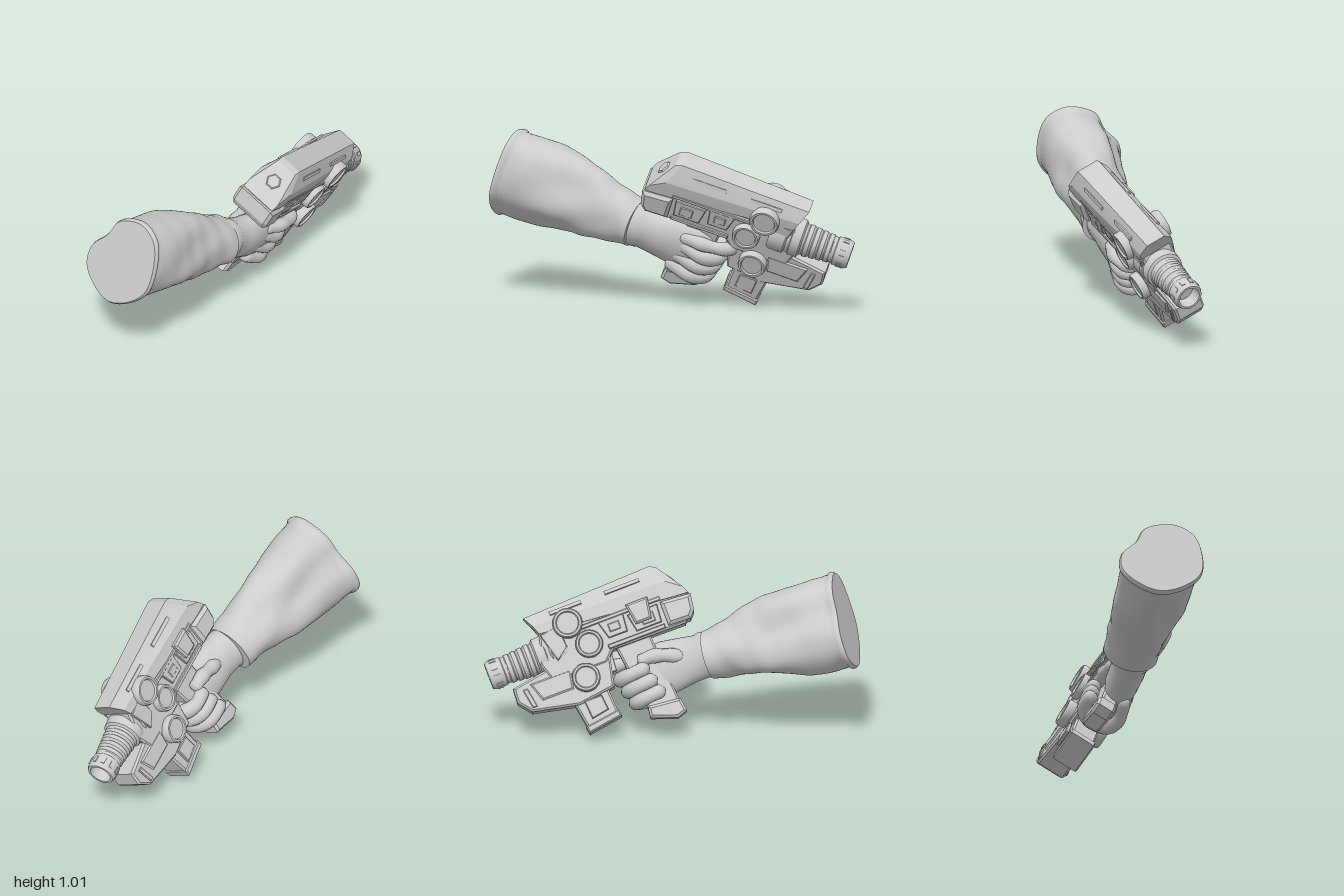
import * as THREE from 'three';
import { toCreasedNormals } from 'three/addons/utils/BufferGeometryUtils.js';

const V = (x, y, z) => new THREE.Vector3(x, y, z);
const material = new THREE.MeshStandardMaterial({ color: 0xcccccc, roughness: 0.8 });

function add(parent, name, geometry, crease = 0.6) {
  const mesh = new THREE.Mesh(toCreasedNormals(geometry, crease), material);
  mesh.name = name;
  parent.add(mesh);
  return mesh;
}

// Closed skin over a list of equal-length rings, wound outwards
function loft(rings) {
  const n = rings[0].length, pts = rings.flat(), index = [];
  for (let r = 0; r < rings.length - 1; r++) for (let i = 0; i < n; i++) {
    const a = r * n + i, b = r * n + (i + 1) % n;
    index.push(a, b, a + n, b, b + n, a + n);
  }
  for (const [r, flip] of [[0, true], [rings.length - 1, false]]) {
    const c = pts.length;
    pts.push(rings[r].reduce((s, p) => s.add(p), V(0, 0, 0)).divideScalar(n));
    for (let i = 0; i < n; i++) {
      const a = r * n + i, b = r * n + (i + 1) % n;
      index.push(...(flip ? [c, b, a] : [c, a, b]));
    }
  }
  let volume = 0;
  for (let i = 0; i < index.length; i += 3) {
    volume += pts[index[i]].dot(pts[index[i + 1]].clone().cross(pts[index[i + 2]]));
  }
  if (volume < 0) index.reverse();
  const g = new THREE.BufferGeometry().setFromPoints(pts);
  g.setIndex(index);
  return g;
}

// Rounded finger swept along a path, swelling at the joints
function finger(path, radius) {
  const curve = new THREE.CatmullRomCurve3(path.map(p => V(...p))), steps = 28;
  const frames = curve.computeFrenetFrames(steps);
  return loft([...Array(steps + 1).keys()].map(k => {
    const t = k / steps, end = Math.min(1, t / 0.1, (1 - t) / 0.1);
    const r = radius * (0.1 + 0.9 * Math.sqrt(1 - (1 - end) ** 2)) * (1 + 0.08 * Math.cos(t * 6 * Math.PI));
    return [...Array(12).keys()].map(i => curve.getPointAt(t)
      .addScaledVector(frames.normals[k], r * Math.cos(i * Math.PI / 6))
      .addScaledVector(frames.binormals[k], r * Math.sin(i * Math.PI / 6)));
  }));
}

// Side profile extruded evenly to both sides, with a small bevel
function slab(points, half, bevel = 0.012) {
  const shape = new THREE.Shape(points.map(p => new THREE.Vector2(...p)));
  return new THREE.ExtrudeGeometry(shape, {
    depth: 2 * (half - bevel), bevelEnabled: true, bevelSize: bevel, bevelOffset: -bevel,
    bevelThickness: bevel, bevelSegments: 1,
  }).translate(0, 0, bevel - half);
}

const rect = (x0, x1, y0, y1) => [[x0, y0], [x1, y0], [x1, y1], [x0, y1]];
const lathe = (profile, sides = 32) =>
  new THREE.LatheGeometry(profile.map(p => new THREE.Vector2(...p)), sides);

function buildSleeve(root) {
  const axis = V(-0.57, 0.31, 0.76).normalize();
  const e1 = V(0, 1, 0).cross(axis).normalize(), e2 = axis.clone().cross(e1);
  const from = V(-0.5, 0.72, 0.837), to = V(0.0, 0.463, 0.18);
  const outline = new THREE.CatmullRomCurve3([
    [0.06, 0.29], [-0.09, 0.23], [-0.15, 0.116], [-0.25, 0], [-0.26, -0.126], [-0.17, -0.23],
    [-0.035, -0.284], [0.116, -0.23], [0.24, -0.105], [0.26, 0.063], [0.225, 0.21], [0.15, 0.274],
  ].map(p => V(p[0], p[1], 0)), true).getSpacedPoints(72).slice(0, 72);
  const rings = [];
  for (let k = 0; k <= 60; k++) {
    const t = k / 60, bulge = Math.sin(Math.PI * t);
    const center = from.clone().lerp(to, t).addScaledVector(e2, 0.014 * bulge);
    // Rolled hem at the open end, flare at the wrist
    const hem = k === 0 ? 0.97 : t < 0.05 ? 1 : t < 0.08 ? 0.95 : 0.94 + 0.06 * t;
    const mix = THREE.MathUtils.smoothstep(t, -0.1, 1.05);
    rings.push(outline.map(o => {
      const a = Math.atan2(o.y, o.x);
      // Long diagonal folds, with fine wrinkles gathering at the wrist
      const fold = t < 0.08 ? 0 : bulge * (0.013 * Math.sin(3 * a + 6 * t) + 0.006 * Math.sin(5 * a - 9 * t + 1))
        + 0.003 * t * Math.sin(34 * t + 2 * a);
      const p = THREE.MathUtils.lerp(o.x, 0.163 * Math.cos(a), mix) * hem + fold * Math.cos(a);
      const q = THREE.MathUtils.lerp(o.y, 0.147 * Math.sin(a), mix) * hem * (1 + 0.17 * bulge) + fold * Math.sin(a);
      return center.clone().addScaledVector(e1, p).addScaledVector(e2, q);
    }));
  }
  add(root, 'sleeve', loft(rings), 0.9);
}

// Local frame: x along the barrel, y up through the sight line, z to the right flank
function buildHand(gun) {
  const sections = [
    [-0.84, -0.49, -0.07, 0.12, 0.12], [-0.76, -0.48, -0.045, 0.142, 0.13], [-0.7, -0.47, -0.03, 0.142, 0.127],
    [-0.68, -0.47, -0.025, 0.134, 0.116], [-0.6, -0.46, 0, 0.142, 0.108], [-0.48, -0.455, 0.02, 0.16, 0.104],
    [-0.36, -0.46, 0.05, 0.165, 0.075], [-0.27, -0.465, 0.065, 0.148, 0.055], [-0.23, -0.47, 0.065, 0.1, 0.03],
  ];
  add(gun, 'glovePalm', loft(sections.map(([s, h, w, rh, rw]) => [...Array(32).keys()].map(i => {
    const a = i * Math.PI / 16;
    return V(s, h + rh * Math.cos(a), w + rw * Math.sin(a));
  }))), 0.9);
  for (let i = 0; i < 3; i++) {
    const h = -0.43 - 0.08 * i, b = -0.02 * i;
    add(gun, 'finger', finger([[-0.45 + b, h + 0.02, 0.07], [-0.3 + b, h, 0.115], [-0.2 + b, h, 0.085],
      [-0.18 + b, h, 0], [-0.24 + b, h, -0.09], [-0.37 + b, h + 0.01, -0.095]], 0.045), 1);
  }
  add(gun, 'indexFinger', finger([[-0.45, -0.37, 0.07], [-0.3, -0.34, 0.115], [-0.17, -0.33, 0.1],
    [-0.11, -0.335, 0.03], [-0.13, -0.335, -0.02]], 0.04), 1);
  add(gun, 'thumb', finger([[-0.62, -0.46, -0.05], [-0.5, -0.4, -0.08], [-0.4, -0.37, -0.085],
    [-0.31, -0.375, -0.075]], 0.042), 1);
}

function buildGun(gun) {
  // Armoured top cover: bevelled section with raked ends
  const cover = (pts) => [...pts.map(([s, h, w]) => V(s, h, w)), ...pts.slice().reverse().map(([s, h, w]) => V(s, h, -w))];
  add(gun, 'topCover', loft([
    cover([[-0.74, -0.09, 0.115], [-0.72, -0.045, 0.118], [-0.61, 0.125, 0.068]]),
    cover([[-0.66, -0.085, 0.122], [-0.63, 0.02, 0.124], [-0.57, 0.142, 0.07]]),
    cover([[0.18, -0.01, 0.115], [0.2, 0.045, 0.11], [0.235, 0.115, 0.06]]),
  ]), 0.25);
  const badge = add(gun, 'rearHexPlate', new THREE.CylinderGeometry(0.04, 0.052, 0.014, 6), 0.2);
  badge.position.set(-0.672, 0.03, 0);
  badge.rotation.z = 1.0;

  // Receiver, fore body, magazine and grip as side profiles
  add(gun, 'receiver', slab([[-0.73, -0.09], [-0.71, -0.2], [-0.66, -0.255], [-0.2, -0.25], [-0.14, -0.31],
    [0.2, -0.31], [0.24, -0.18], [0.17, 0.02], [-0.62, 0.03]], 0.1), 0.3);
  add(gun, 'rearBlock', slab([[-0.75, -0.1], [-0.735, -0.2], [-0.7, -0.24], [-0.56, -0.235], [-0.56, -0.085]], 0.135, 0.02), 0.3);
  add(gun, 'foreBody', slab([[-0.17, -0.28], [-0.13, -0.46], [0.1, -0.49], [0.38, -0.43], [0.445, -0.35],
    [0.44, -0.26], [0.2, -0.22]], 0.092), 0.3);
  add(gun, 'foreRail', slab([[0.08, -0.27], [0.1, -0.39], [0.3, -0.39], [0.34, -0.27]], 0.102), 0.3);
  add(gun, 'magazine', slab([[-0.09, -0.42], [-0.1, -0.62], [0.1, -0.655], [0.135, -0.44]], 0.078).translate(0, 0, 0.01), 0.3);
  add(gun, 'magazineBase', slab([[-0.105, -0.595], [-0.11, -0.635], [0.105, -0.668], [0.113, -0.625]], 0.085, 0.008)
    .translate(0, 0, 0.01), 0.3);
  add(gun, 'grip', slab([[-0.44, -0.24], [-0.22, -0.24], [-0.28, -0.7], [-0.47, -0.73]], 0.05), 0.3);
  add(gun, 'gripBase', slab([[-0.475, -0.66], [-0.485, -0.745], [-0.42, -0.765], [-0.265, -0.71], [-0.275, -0.64]], 0.06, 0.015)
    .translate(0, 0, -0.008), 0.3);
  add(gun, 'trigger', slab([[-0.19, -0.24], [-0.14, -0.24], [-0.15, -0.37], [-0.18, -0.37]], 0.015, 0.004), 0.3);
  add(gun, 'triggerGuard', slab([[-0.26, -0.4], [-0.1, -0.38], [-0.1, -0.405], [-0.26, -0.425]], 0.03, 0.006), 0.3);

  // Hollow barrel: broad collar, shallow ribs, muzzle ring
  const barrel = [[0, 0.05], [0.112, 0.05], [0.122, 0.07], [0.122, 0.15], [0.112, 0.16], [0.112, 0.18],
    [0.12, 0.185], [0.116, 0.24], [0.1, 0.25]];
  for (let i = 0; i < 4; i++) {
    const s = 0.265 + i * 0.043, r = 0.1 - i * 0.004;
    barrel.push([r - 0.006, s], [r, s + 0.006], [r, s + 0.03], [r - 0.006, s + 0.036]);
  }
  barrel.push([0.08, 0.437], [0.082, 0.45], [0.088, 0.455], [0.088, 0.53], [0.08, 0.548], [0.066, 0.548], [0.062, 0.47], [0, 0.47]);
  add(gun, 'barrel', lathe(barrel).rotateZ(-Math.PI / 2).translate(0, -0.13, 0.01), 0.5);
  for (let i = 0; i < 10; i++) {
    const a = i * Math.PI / 5;
    add(gun, 'muzzleRib', new THREE.BoxGeometry(0.04, 0.008, 0.022).translate(0.5, 0.088, 0)
      .rotateX(a).translate(0, -0.13, 0.01), 0.2);
  }

  // Rimmed drums and panels mirrored on both flanks
  const drum = [[0, 0], [0.072, 0], [0.072, 0.085], [0.086, 0.09], [0.09, 0.1], [0.09, 0.14], [0.083, 0.155],
    [0.07, 0.155], [0.064, 0.143], [0, 0.143]];
  for (const side of [1, -1]) {
    for (const [s, h, size] of [[0, -0.01, 1], [-0.078, -0.17, 0.92], [0.01, -0.352, 0.95]]) {
      add(gun, 'sideDrum', lathe(drum).scale(size, size, size).rotateX(side * Math.PI / 2).translate(s, h, 0), 0.5);
    }
    const panel = (name, points, w, thick = 0.012) =>
      add(gun, name, slab(points, thick, 0.005).translate(0, 0, side * w), 0.3);
    panel('sidePanel', [[-0.54, -0.09], [-0.53, -0.2], [-0.37, -0.2], [-0.35, -0.09]], 0.106);
    panel('sidePanel', [[-0.33, -0.07], [-0.32, -0.18], [-0.2, -0.18], [-0.17, -0.07]], 0.106);
    panel('lowerRail', rect(-0.54, -0.18, -0.242, -0.215), 0.104);
    panel('upperRail', rect(-0.57, 0.04, -0.075, -0.05), 0.112);
    panel('smallPlate', rect(-0.5, -0.42, -0.18, -0.12), 0.116, 0.008);
    panel('smallPlate', rect(-0.29, -0.22, -0.15, -0.1), 0.116, 0.008);
    panel('frontBracket', [[0.06, 0], [0.05, -0.14], [0.13, -0.2], [0.18, -0.02]], 0.104);
    panel('noseRib', [[0.36, -0.29], [0.34, -0.41], [0.37, -0.41], [0.39, -0.29]], 0.09);
    panel('magazineRib', [[-0.04, -0.48], [-0.05, -0.575], [0.06, -0.595], [0.07, -0.48]], 0.081);
    for (const [s, length] of [[-0.38, 0.22], [-0.02, 0.2]]) {
      const strip = add(gun, 'coverStrip', new THREE.BoxGeometry(length, 0.022, 0.012), 0.2);
      strip.position.set(s, 0.083, side * 0.096);
      strip.rotation.x = -side * 0.42;
    }
  }
  // Ejection block on the left flank
  add(gun, 'ejectionBlock', slab([[-0.5, -0.03], [-0.48, -0.16], [-0.38, -0.16], [-0.36, -0.03]], 0.03)
    .translate(0, 0, -0.12), 0.3);
}

export function createModel() {
  const root = new THREE.Group();
  root.name = 'armWithBlaster';
  buildSleeve(root);
  const forward = V(0.32, -0.32, -0.89).normalize();
  const flank = forward.clone().cross(V(0.52, 0.84, -0.115)).normalize();
  const up = flank.clone().cross(forward);
  const gun = new THREE.Group();
  gun.name = 'blasterAndHand';
  gun.quaternion.setFromRotationMatrix(new THREE.Matrix4().makeBasis(forward, up, flank));
  gun.position.set(0.52, 0.615, -0.5);
  buildGun(gun);
  buildHand(gun);
  root.add(gun);
  return root;
}
